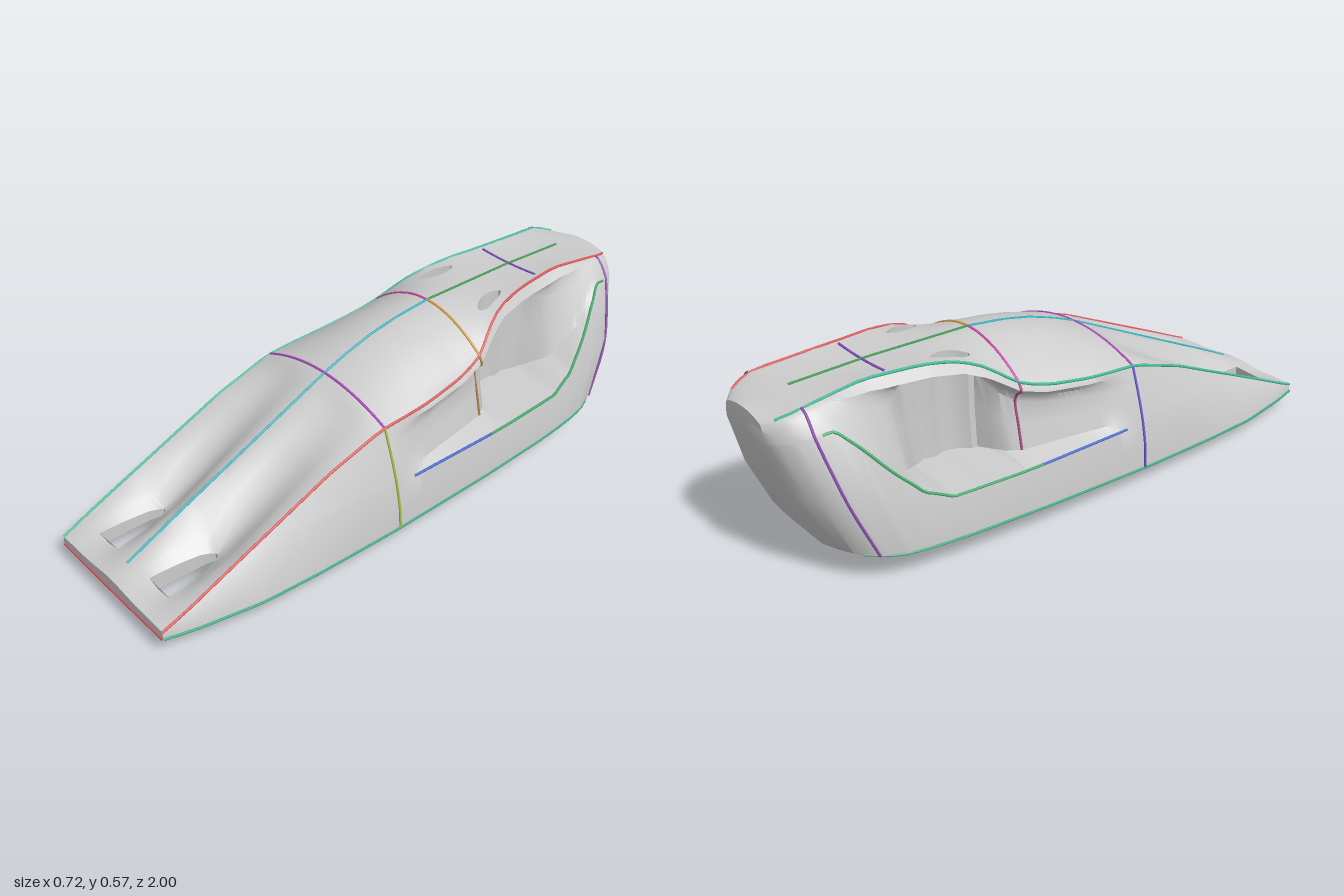
import * as THREE from 'three';
import { toCreasedNormals } from 'three/addons/utils/BufferGeometryUtils.js';

const lerp = THREE.MathUtils.lerp;
const clamp = THREE.MathUtils.clamp;

// Piecewise linear rule along the length: [z, value] keys, z falling
function along(keys, s) {
  if (s >= keys[0][0]) return keys[0][1];
  for (let i = 1; i < keys.length; i++) {
    const [z0, a] = keys[i - 1], [z1, b] = keys[i];
    if (s >= z1) return lerp(a, b, (z0 - s) / (z0 - z1));
  }
  return keys[keys.length - 1][1];
}

// Ruling curves of the body
const CENTRE_Y = [[1, .095], [.95, .115], [.8, .185], [.6, .275], [.4, .365], [.2, .455], [.1, .493], [0, .523], [-.1, .543], [-.24, .558], [-.6, .56], [-.9, .55], [-1, .53]];
const RAIL_Y = [[1, .08], [.95, .1], [.8, .165], [.6, .25], [.4, .335], [.2, .397], [0, .41], [-.15, .43], [-.24, .458], [-.33, .52], [-.4, .55], [-.5, .565], [-.7, .568], [-.9, .55], [-1, .515]];
const RAIL_X = [[1, .27], [.9, .275], [.1, .28], [0, .276], [-.15, .262], [-.24, .245], [-.33, .203], [-.4, .175], [-.55, .148], [-.7, .132], [-.88, .145], [-.95, .14], [-1, .09]];
const LOWER_X = [[1, .272], [.9, .3], [.7, .338], [.5, .35], [.2, .355], [-.2, .352], [-.5, .34], [-.7, .325], [-.8, .312], [-.9, .283], [-.95, .245], [-.98, .2], [-1, .15]];
const LOWER_Y = [[1, .055], [.2, .065], [-.5, .085], [-.85, .09], [-1, .11]];
const FLOOR_Y = [[1, .045], [.8, .035], [-.7, .035], [-.9, .045], [-1, .085]];
const BULGE = [[.3, 0], [.15, .008], [0, .024], [-.2, .035], [-.33, .028], [-.45, .006], [-.6, .012], [-.8, 0]];
const GROOVE = [[1, .008], [.92, .03], [.82, .075], [.72, .098], [.6, .08], [.4, .04], [.26, .018], [.2, 0]];
const FLOOR_RISE = [[1, 0], [.92, .015], [.72, .055], [.6, .02], [.45, 0]];
const LEDGE_Y = [[1, .225], [-.3, .215], [-.55, .22], [-.65, .26], [-.73, .34], [-.8, .44], [-.86, .5]];
const CAVITY = [[.16, 0], [-.24, .38], [-.28, .5], [-.32, 1], [-.5, 1], [-.56, .8], [-.64, .4], [-.74, .15], [-.85, 0]];
const SLOT_C = [[0, .5], [-.3, .69], [-.6, .69], [-.9, .5]];
const SLOT_H = [[.92, .19], [.82, .15], [.75, .09], [.72, .02], [.6, .13], [-.28, .1], [-.34, .03], [-.37, .13], [-.43, .13], [-.46, .03], [-.6, .13]];

// Half cross-section: roof centre -> rail -> side cavity -> lower edge -> floor centre
const RAIL = 8, LEDGE = 14, LOWER = 16, FLOOR = 24;
function section(s) {
  const at = (k) => along(k, s);
  const wt = at(RAIL_X), ye = at(RAIL_Y), yc = at(CENTRE_Y), w = at(LOWER_X), ys = at(LOWER_Y);
  const c = at(SLOT_C), h = at(SLOT_H), lo = c - h, hi = c + h, d = at(CAVITY), yl = at(LEDGE_Y);
  const p = [];
  // deck with two hollow channels, and roof
  for (const u of [0, lo / 3, lo * 2 / 3, lo, c, hi, lerp(hi, 1, 1 / 3), lerp(hi, 1, 2 / 3), 1])
    p.push([u * wt, lerp(yc, ye, u * u) - at(GROOVE) * Math.sin(Math.PI * u) ** 2]);
  // side, rounder towards the tail, pushed inwards where the cavity is
  const round = lerp(1, .6, THREE.MathUtils.smoothstep(-s, .5, .85));
  const side = (v) => [lerp(wt, w, Math.sin(v * Math.PI / 2) ** round), lerp(ye, ys, v)];
  const vl = clamp((ye - yl) / (ye - ys), .15, .75);
  const target = [null, [hi * wt, ye - .03], [lo * wt, ye - .035], [lo * wt, (ye + yl) / 2], [lo * wt + .01, yl + .015]];
  [.1, .2, .35, .6, .88, 1].forEach((f, i) => {
    const q = side(f * vl), t = target[i];
    p.push(t ? [lerp(q[0], t[0], d), lerp(q[1], t[1], d)] : q);
  });
  p.push(side((1 + vl) / 2), side(1));
  // floor with two shallow hulls, hollowed around the front slots
  const k = .275 * Math.min(1, w / .275), fh = s > .6 ? h : .13;
  const a = (.5 + fh) * k, b = (.5 - fh) * k;
  for (const x of [lerp(a, w, 2 / 3), lerp(a, w, 1 / 3), a, .5 * k, b, b * 2 / 3, b / 3, 0]) {
    const y = lerp(at(FLOOR_Y), ys, (x / w) ** 5);
    p.push([x, y + (at(FLOOR_RISE) - at(BULGE)) * Math.sin(Math.PI * Math.min(x, .29) / .29) ** 2]);
  }
  // the tail curves forward towards the floor
  const lean = .16 * THREE.MathUtils.smoothstep(-s, .4, 1);
  return p.map(([x, y]) => [x, y, s + lean * clamp((.5 - y) / .44, 0, 1) ** 1.5]);
}

function bodyGeometry() {
  const rows = [], pos = [];
  for (let i = 0; i <= 100; i++) rows.push(section(1 - i * .02));
  const row = (z) => Math.round((1 - z) / .02);
  const tri = (a, b, c) => {
    pos.push(...a, ...b, ...c);
    for (const [x, y, z] of [a, c, b]) pos.push(-x, y, z);
  };
  const quad = (a, b, c, d) => { tri(a, b, c); tri(b, d, c); };
  // openings: rows, and the columns removed above and below
  const slots = [
    { from: row(.92), to: row(.72), top: [3, 4, 5], under: [21, 20, 19] },
    { from: row(-.34), to: row(-.46), top: [3, 4, 5], under: [11, 10] },
  ];
  const open = (i, j) => slots.some((o) => i >= o.from && i < o.to &&
    [o.top, o.under].some((q) => j >= Math.min(...q) && j < Math.max(...q)));
  const flat = (r) => r.map(([, y, z]) => [0, y, z]);
  const all = [flat(rows[0]), ...rows, flat(rows[100])];
  for (let i = 0; i < all.length - 1; i++)
    for (let j = 0; j < FLOOR; j++)
      if (!open(i - 1, j)) quad(all[i][j], all[i][j + 1], all[i + 1][j], all[i + 1][j + 1]);
  // walls of the openings
  for (const { from, to, top, under } of slots) {
    const inner = [top[0], under[0]], outer = [top[2], under[under.length - 1]];
    for (let i = from; i < to; i++) {
      const A = rows[i], B = rows[i + 1];
      quad(A[inner[0]], B[inner[0]], A[inner[1]], B[inner[1]]);
      quad(B[outer[0]], A[outer[0]], B[outer[1]], A[outer[1]]);
    }
    const F = rows[from], T = rows[to];
    quad(F[outer[0]], F[inner[0]], F[outer[1]], F[inner[1]]);
    quad(T[inner[0]], T[outer[0]], T[inner[1]], T[outer[1]]);
  }
  const g = new THREE.BufferGeometry();
  g.setAttribute('position', new THREE.Float32BufferAttribute(pos, 3));
  return toCreasedNormals(g, .6);
}

export function createModel() {
  const model = new THREE.Group();
  const body = new THREE.Mesh(bodyGeometry(), new THREE.MeshStandardMaterial({ color: 0xcccccc, side: THREE.DoubleSide }));
  body.name = 'bodyShell';
  model.add(body);

  // Thin coloured guide lines lying on the shell
  const lines = new THREE.Group();
  lines.name = 'guideLines';
  model.add(lines);
  const line = (name, color, pts, mirror = 1) => {
    const curve = new THREE.CatmullRomCurve3(pts.map(([x, y, z]) => new THREE.Vector3(x * mirror, y, z)), false, 'centripetal');
    const mesh = new THREE.Mesh(new THREE.TubeGeometry(curve, 48, .0045, 6), new THREE.MeshStandardMaterial({ color }));
    mesh.name = name;
    lines.add(mesh);
  };
  const lengthwise = (j, z0, z1, n = 20) => Array.from({ length: n + 1 }, (_, i) => section(lerp(z0, z1, i / n))[j]);
  const across = (z, j0, j1) => section(z).slice(j0, j1 + 1);
  const fullAcross = (z, j0, j1) => {
    const half = across(z, j0, j1);
    return [...half.slice(1).reverse().map(([x, y, q]) => [-x, y, q]), ...half];
  };

  line('deckCentreLine', 0x35b5c0, lengthwise(0, .94, -.24));
  line('roofCentreLine', 0x3f9a50, lengthwise(0, -.24, -.86));
  line('floorCentreLine', 0x5048a0, lengthwise(FLOOR, .98, -.9));
  line('floorCrossLine', 0x40a050, fullAcross(.19, LOWER, FLOOR - 1).sort((a, b) => a[0] - b[0]));
  line('deckCrossLine', 0xb050c0, fullAcross(.19, 0, RAIL));
  line('roofCrossLineLeft', 0xd8a040, across(-.24, 0, RAIL));
  line('roofCrossLineRight', 0xd850b0, across(-.24, 0, RAIL), -1);
  line('rearRoofCrossLine', 0x8050c0, fullAcross(-.62, 0, 6));
  line('noseLine', 0xe05060, [[-.27, .052, 1], [0, .05, 1], [.27, .052, 1]]);
  for (const m of [1, -1]) {
    const left = m > 0;
    line('railLine', left ? 0xe05a5a : 0x45c0a0, lengthwise(RAIL, 1, -.97, 40), m);
    line('lowerEdgeLine', 0x40b088, lengthwise(LOWER, 1, -.94), m);
    line('frontSideLine', left ? 0xa0c040 : 0x6a5ad0, across(.19, RAIL, LOWER), m);
    line('ledgeLine', 0x5070d8, lengthwise(LEDGE, .12, -.22), m);
    line('cavityEdgeLine', 0x45b070, lengthwise(LEDGE, -.22, -.88), m);
    line('cavityFrontLine', left ? 0xb08040 : 0xb05080, across(-.24, RAIL, 13), m);
    line('tailSideLine', 0x9050b0, across(-.9, RAIL, LOWER), m);
  }
  return model;
}
